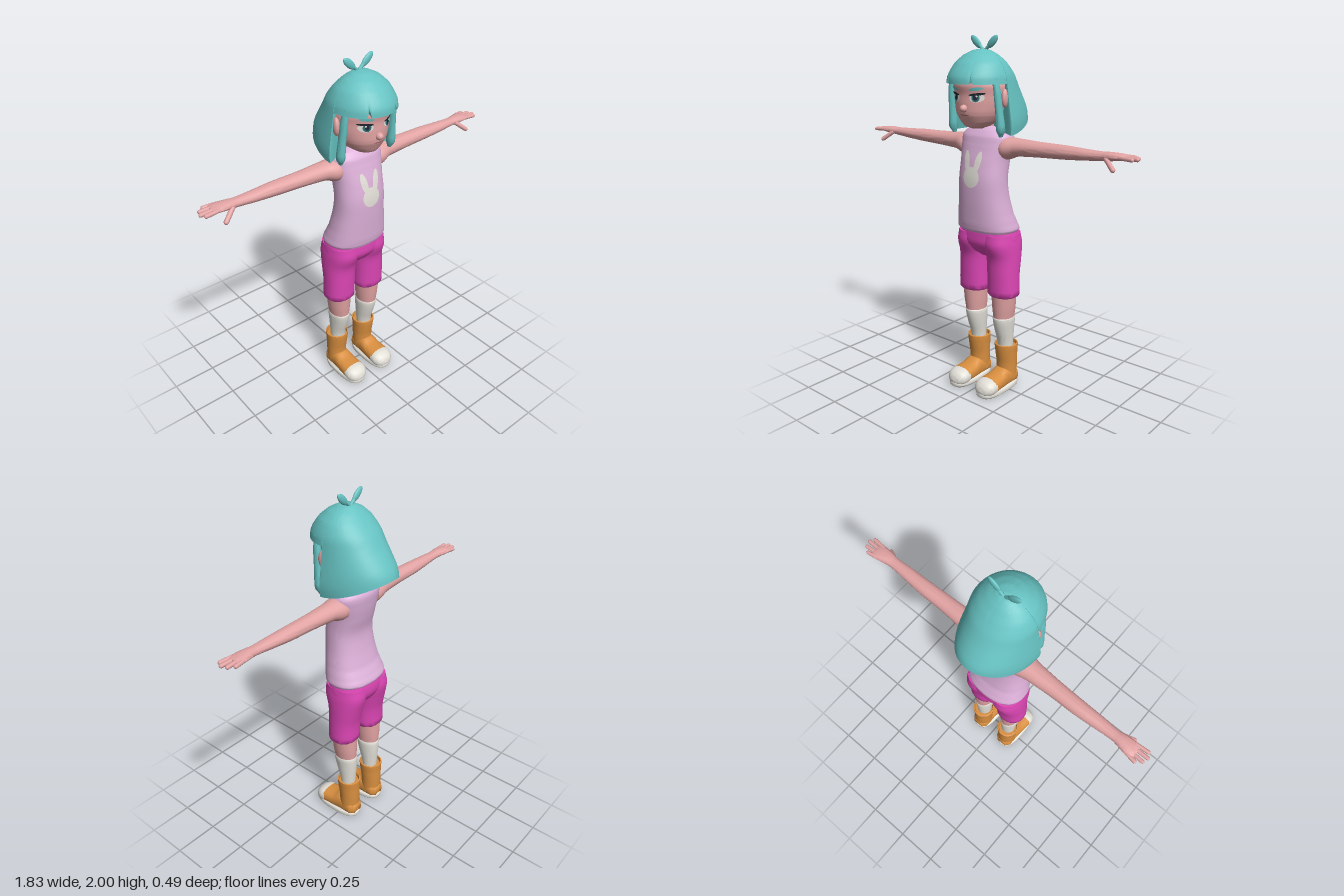
import * as THREE from 'three';
import { toCreasedNormals } from 'three/addons/utils/BufferGeometryUtils.js';

const mat = (name, color) => {
  const m = new THREE.MeshStandardMaterial({ color, side: THREE.DoubleSide });
  m.name = name;
  return m;
};

// Smooth interpolation of a list of sections; the first entry (position) stays linear
function sample(secs, s) {
  const n = secs.length - 1, i = Math.min(Math.floor(s), n - 1), f = s - i;
  const [a, b, c, d] = [i - 1, i, i + 1, i + 2].map(k => secs[Math.max(0, Math.min(n, k))]);
  return b.map((v, k) => k === 0 ? v + (c[0] - v) * f
    : v + 0.5 * f * (c[k] - a[k] + f * (2 * a[k] - 5 * v + 4 * c[k] - d[k] + f * (3 * (v - c[k]) + d[k] - a[k]))));
}
function sampleAt(secs, t) {
  let i = 0;
  while (i < secs.length - 2 && secs[i + 1][0] < t) i++;
  const f = (t - secs[i][0]) / (secs[i + 1][0] - secs[i][0]);
  return sample(secs, i + Math.max(0, Math.min(1, f)));
}

// Closed skin over rows of points
function skinRows(rows) {
  const n = rows[0].length, idx = [];
  for (let r = 0; r < rows.length - 1; r++) for (let c = 0; c < n; c++) {
    const p = r * n + c, q = r * n + (c + 1) % n;
    idx.push(p, p + n, q, q, p + n, q + n);
  }
  const g = new THREE.BufferGeometry();
  g.setAttribute('position', new THREE.Float32BufferAttribute(rows.flat(2), 3));
  g.setIndex(idx);
  return toCreasedNormals(g, 1.1);
}

// Loft of oval sections [t, centreU, centreV, radiusU, radiusV] along an axis
function loft(secs, axis = 'y', power = 2, cols = 32, sub = 4) {
  const place = { y: (t, u, v) => [u, t, v], x: (t, u, v) => [t, v, u], z: (t, u, v) => [v, u, t] }[axis];
  const oval = c => Math.sign(c) * Math.abs(c) ** (2 / power);
  const ring = ([t, cu, cv, ru, rv], k = 1) => Array.from({ length: cols }, (_, i) => {
    const a = i / cols * Math.PI * 2;
    return place(t, cu + k * ru * oval(Math.cos(a)), cv + k * rv * oval(Math.sin(a)));
  });
  const rows = [ring(secs[0], 0)], total = (secs.length - 1) * sub;
  for (let i = 0; i <= total; i++) rows.push(ring(sample(secs, i / sub)));
  rows.push(ring(secs.at(-1), 0));
  return skinRows(rows);
}

// Thin oval that hugs the front of a vertical loft
function decal(secs, power, cx, cy, rx, ry, rot, lift) {
  const g = new THREE.RingGeometry(0, 1, 28, 5);
  g.scale(rx, ry, 1).rotateZ(rot).translate(cx, cy, 0);
  const p = g.attributes.position;
  for (let i = 0; i < p.count; i++) {
    const [, ox, oz, sx, sz] = sampleAt(secs, p.getY(i));
    const k = Math.min(1, Math.abs((p.getX(i) - ox) / sx));
    p.setZ(i, oz + sz * (1 - k ** power) ** (1 / power) + lift);
  }
  g.computeVertexNormals();
  return g;
}

function capsule(a, b, r) {
  const A = new THREE.Vector3(...a), B = new THREE.Vector3(...b), d = B.clone().sub(A);
  const g = new THREE.CapsuleGeometry(r, d.length(), 5, 12);
  g.applyQuaternion(new THREE.Quaternion().setFromUnitVectors(new THREE.Vector3(0, 1, 0), d.normalize()));
  return g.translate(...A.add(B).multiplyScalar(0.5).toArray());
}

// Mirror across x, keeping faces outward
function mirrored(geo) {
  const g = geo.index ? geo.toNonIndexed() : geo.clone();
  g.scale(-1, 1, 1);
  for (const at of [g.attributes.position, g.attributes.normal])
    for (let i = 0; i < at.count; i += 3) for (let k = 0; k < 3; k++) {
      const a = at.array, t = a[i * 3 + k];
      a[i * 3 + k] = a[i * 3 + 6 + k];
      a[i * 3 + 6 + k] = t;
    }
  return g;
}

// Hair shell: rings [y, half width, front depth, back depth]; short fringe, long sides and back
function hairShell() {
  const rings = [[1.49, .203, .19, .295], [1.55, .208, .19, .3], [1.62, .2, .19, .293], [1.68, .19, .192, .257],
    [1.76, .178, .195, .202], [1.8, .17, .187, .174], [1.86, .14, .146, .122], [1.9, .097, .097, .078],
    [1.925, .047, .047, .042], [1.932, .001, .001, .001]];
  const cols = [], N = 48, z0 = 0.05;
  for (let i = 0; i <= N; i++) {
    const a = 0.05 + (Math.PI - 0.1) * i / N;
    cols.push([a, 1.757 + (i === 17 || i === 32 ? 0.04 : 0)]);
  }
  for (let i = 0; i <= N; i++) {
    const a = Math.PI - 0.04 + (Math.PI + 0.08) * i / N;
    cols.push([a, 1.495 + 0.105 * Math.max(0, -Math.sin(a)) ** 1.5]);
  }
  const point = (a, y) => {
    const [, rx, zf, zb] = sampleAt(rings, y), s = Math.sin(a);
    return [rx * Math.cos(a), y, z0 + s * (s > 0 ? zf : zb)];
  };
  const inner = k => cols.map(([a, yb]) => {
    const [x, y, z] = point(a, yb);
    return [x * (1 - k), y + 0.04 * k, z * (1 - k)];
  });
  const rows = [inner(0.85), inner(0.12)];
  for (let r = 0; r <= 28; r++)
    rows.push(cols.map(([a, yb]) => point(a, yb + (1.932 - yb) * (1 - (1 - r / 28) ** 2))));
  return skinRows(rows);
}

export function createModel() {
  const model = new THREE.Group();
  model.name = 'girl';
  const skin = mat('skin', 0xe2a3a3), hair = mat('hair teal', 0x67c2c2), shirt = mat('shirt lilac', 0xdcb0d8),
    pink = mat('shorts magenta', 0xdc46b4), white = mat('off white', 0xe3e0d8), orange = mat('boot orange', 0xd98f40),
    dark = mat('dark', 0x22262e), iris = mat('iris', 0x2f6b78), lip = mat('lip', 0xa8686c);
  const add = (name, geo, m) => {
    const mesh = new THREE.Mesh(geo, m);
    mesh.name = name;
    model.add(mesh);
  };
  const pair = (name, geo, m) => {
    add(name + 'Left', geo, m);
    add(name + 'Right', mirrored(geo), m);
  };

  // Head and neck
  const head = [[1.522, 0, .085, .03, .035], [1.535, 0, .085, .065, .07], [1.56, 0, .065, .102, .105],
    [1.6, 0, .045, .133, .143], [1.65, 0, .03, .152, .16], [1.7, 0, .025, .16, .163],
    [1.76, 0, .03, .158, .163], [1.85, 0, .05, .11, .1]];
  add('head', loft(head, 'y', 2, 48, 6), skin);
  add('nose', new THREE.SphereGeometry(1, 20, 14).scale(.02, .02, .024).translate(0, 1.632, .193), skin);
  add('neck', new THREE.CylinderGeometry(.052, .062, .13, 24).translate(0, 1.51, 0), skin);
  pair('ear', new THREE.SphereGeometry(1, 18, 14).scale(.018, .048, .028).rotateY(.4).translate(.166, 1.685, .062), skin);

  // Face
  const face = (name, m, ...d) => pair(name, decal(head, 2, ...d), m);
  face('eyeWhite', white, .07, 1.688, .036, .022, .08, .003);
  face('iris', iris, .066, 1.689, .02, .022, 0, .0045);
  face('pupil', dark, .066, 1.69, .011, .015, 0, .006);
  face('eyeGlint', white, .073, 1.697, .005, .005, 0, .0075);
  face('eyelash', dark, .073, 1.706, .04, .0065, .12, .007);
  face('eyebrow', hair, .07, 1.732, .036, .008, .15, .006);
  add('mouth', decal(head, 2, 0, 1.598, .03, .003, 0, .003), lip);

  // Hair with side locks and a two-leaf sprout
  add('hair', hairShell(), hair);
  pair('sideLock', loft([[1.488, .163, .09, .008, .012], [1.52, .167, .095, .022, .026], [1.62, .163, .104, .019, .023],
    [1.72, .157, .113, .017, .022], [1.79, .148, .118, .014, .018]], 'y', 2, 18), hair);
  pair('sproutLeaf', new THREE.SphereGeometry(1, 20, 14).scale(.046, .02, .011).rotateZ(.72).translate(.056, 1.966, .03), hair);
  pair('sproutStem', capsule([.004, 1.92, .03], [.03, 1.946, .03], .009), hair);

  // Shirt with rabbit print
  const torso = [[.955, 0, -.005, .177, .13], [.966, 0, -.005, .184, .135], [1, 0, .005, .177, .13],
    [1.05, 0, .019, .166, .119], [1.15, 0, .034, .15, .109], [1.25, 0, .04, .144, .103], [1.35, 0, .022, .144, .105],
    [1.43, 0, .005, .155, .1], [1.48, 0, -.003, .155, .094], [1.51, 0, -.005, .125, .075], [1.53, 0, -.005, .07, .055]];
  add('shirt', loft(torso, 'y', 2.3, 48, 6), shirt);
  add('printHead', decal(torso, 2.3, 0, 1.263, .054, .056, 0, .004), white);
  pair('printEar', decal(torso, 2.3, .037, 1.345, .019, .06, -.2, .0045), white);

  // Arms and hands
  pair('arm', loft([[.12, 0, 1.418, .068, .058], [.15, .002, 1.419, .07, .06], [.21, -.002, 1.428, .056, .048],
    [.35, -.003, 1.43, .046, .04], [.5, -.005, 1.432, .042, .036], [.62, -.003, 1.434, .036, .029],
    [.72, -.003, 1.437, .03, .023], [.76, -.004, 1.44, .036, .022], [.81, -.008, 1.442, .043, .018],
    [.84, -.01, 1.442, .041, .013], [.85, -.01, 1.442, .034, .008]], 'x', 2, 28), skin);
  [[.024, .03, .89], [.002, .005, .905], [-.021, -.025, .895], [-.042, -.048, .866]].forEach(([z, tip, x], i) =>
    pair('finger' + (i + 1), capsule([.82, 1.443, z], [x, 1.441, tip], .0105), skin));
  pair('thumb', capsule([.75, 1.43, .022], [.806, 1.387, .052], .0125), skin);

  // Shorts
  add('shortsSeat', loft([[.8, 0, -.015, .06, .05], [.83, 0, -.015, .13, .09], [.88, 0, -.013, .18, .12],
    [.93, 0, -.013, .182, .122], [.98, 0, -.01, .17, .115]], 'y', 2.2, 40), pink);
  pair('shortsLeg', loft([[.577, .106, -.012, .084, .078], [.586, .106, -.012, .091, .084], [.7, .104, -.012, .09, .087],
    [.8, .1, -.02, .092, .1], [.88, .094, -.015, .094, .122], [.94, .09, -.013, .09, .115]], 'y', 2.2), pink);

  // Legs and socks
  pair('leg', loft([[.42, .104, -.018, .053, .068], [.5, .106, -.016, .062, .074], [.62, .108, -.012, .069, .078]]), skin);
  pair('sock', loft([[.22, .103, -.034, .043, .044], [.28, .103, -.034, .045, .048], [.37, .103, -.024, .053, .065],
    [.437, .104, -.018, .058, .073], [.445, .104, -.018, .055, .07]]), white);

  // Boots
  pair('bootShaft', loft([[.05, .104, -.046, .058, .06], [.15, .104, -.048, .06, .061], [.22, .104, -.043, .064, .066],
    [.268, .104, -.042, .067, .069], [.27, .104, -.042, .06, .062], [.25, .104, -.042, .056, .058]]), orange);
  pair('bootFoot', loft([[-.108, .055, .104, .035, .035], [-.085, .062, .104, .05, .056], [0, .068, .104, .062, .058],
    [.05, .06, .104, .05, .062], [.12, .056, .104, .046, .067]], 'z', 2.4), orange);
  pair('toeCap', loft([[.112, .055, .104, .047, .068], [.145, .053, .104, .046, .068], [.172, .049, .104, .038, .056],
    [.188, .044, .104, .024, .036], [.194, .04, .104, .008, .012]], 'z', 2.3), white);
  pair('sole', loft([[0, .104, .04, .06, .143], [.008, .104, .04, .069, .152], [.03, .104, .04, .069, .153],
    [.035, .104, .04, .064, .148]], 'y', 2.7, 40), white);
  return model;
}
